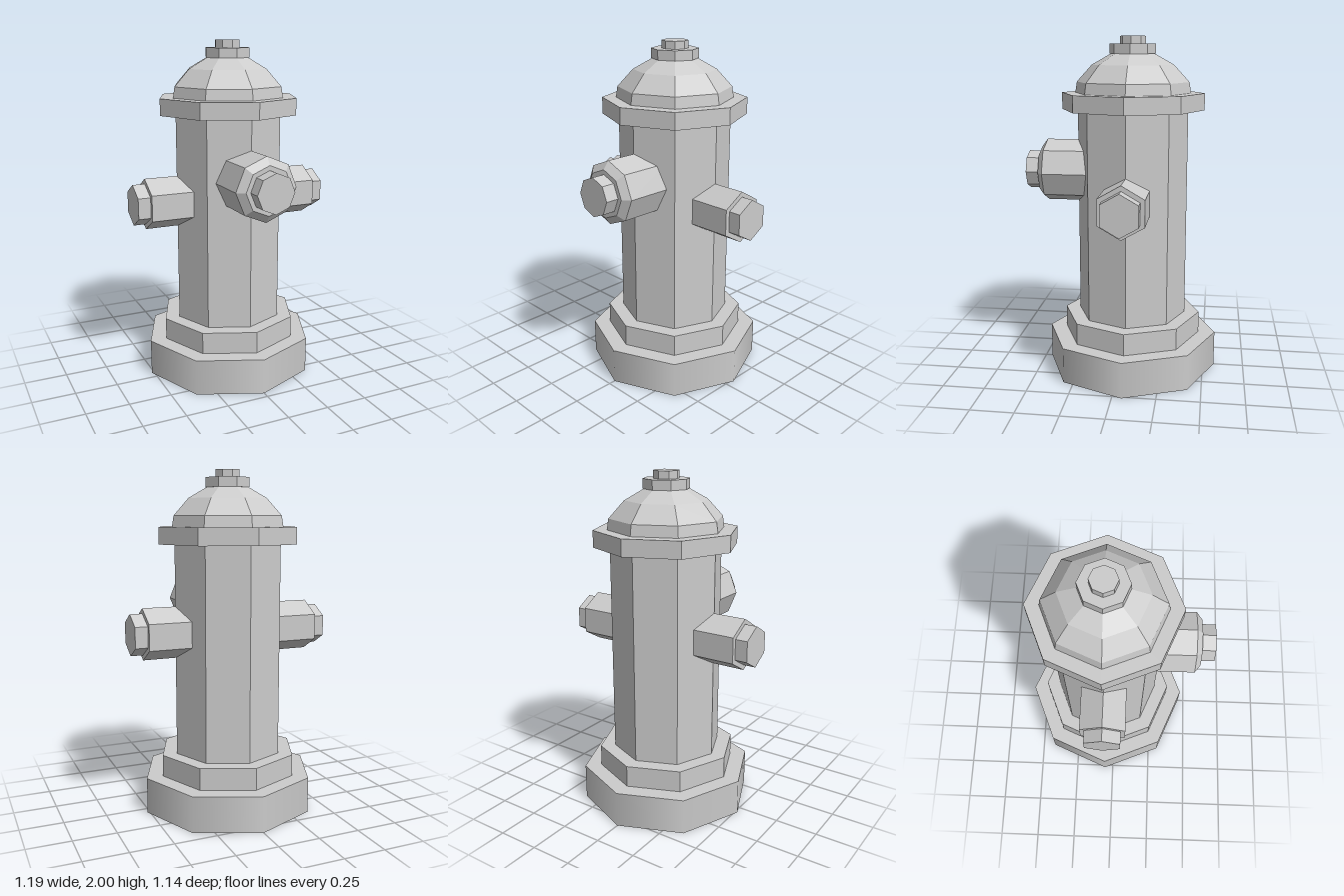
import * as THREE from 'three';

const flat = new THREE.MeshStandardMaterial({ color: 0xcccccc, flatShading: true });
const smooth = new THREE.MeshStandardMaterial({ color: 0xcccccc });

function add(parent, name, geometry, material = flat) {
  const mesh = new THREE.Mesh(geometry, material);
  mesh.name = name;
  parent.add(mesh);
  return mesh;
}

// Upright prism between two heights
function prism(radius, y0, y1, sides = 8) {
  return new THREE.CylinderGeometry(radius, radius, y1 - y0, sides).translate(0, (y0 + y1) / 2, 0);
}

// Faceted revolved profile of [radius, height] pairs, bottom to top
function turned(profile, sides = 8) {
  return new THREE.LatheGeometry(profile.map(([r, y]) => new THREE.Vector2(r, y)), sides);
}

export function createModel() {
  const model = new THREE.Group();
  model.name = 'fireHydrant';

  const hydrant = new THREE.Group();
  hydrant.name = 'hydrantBody';
  hydrant.position.z = -0.055;
  model.add(hydrant);

  // Base, barrel and flanges
  add(hydrant, 'base', prism(0.515, 0, 0.213), smooth);
  add(hydrant, 'lowerFlange', prism(0.415, 0.213, 0.342));
  add(hydrant, 'barrel', prism(0.326, 0.342, 1.58));
  add(hydrant, 'upperFlange', prism(0.42, 1.58, 1.677));

  // Domed bonnet and its operating nut
  add(hydrant, 'bonnet', turned([[0.34, 1.677], [0.33, 1.74], [0.24, 1.838], [0.12, 1.905], [0, 1.905]]));
  add(hydrant, 'bonnetCollar', prism(0.135, 1.9, 1.956));
  add(hydrant, 'bonnetNut', prism(0.075, 1.956, 2));

  // Hexagonal side outlets, mirrored left and right
  for (const [side, sign] of [['left', 1], ['right', -1]]) {
    const outlet = new THREE.Group();
    outlet.name = side + 'Outlet';
    outlet.position.y = 1.075;
    outlet.rotation.z = -sign * Math.PI / 2;
    add(outlet, 'outletPipe', prism(0.15, 0.2, 0.524, 6).rotateY(Math.PI / 2));
    add(outlet, 'outletNut', prism(0.12, 0.524, 0.597, 6).rotateY(Math.PI / 2));
    hydrant.add(outlet);
  }

  // Large front outlet with a bevelled cap
  const front = new THREE.Group();
  front.name = 'frontOutlet';
  front.position.y = 1.215;
  front.rotation.x = Math.PI / 2;
  add(front, 'outletCap', turned([[0, 0.2], [0.185, 0.2], [0.185, 0.512], [0.14, 0.546], [0, 0.546]]));
  add(front, 'outletNut', prism(0.113, 0.54, 0.625));
  hydrant.add(front);

  return model;
}
